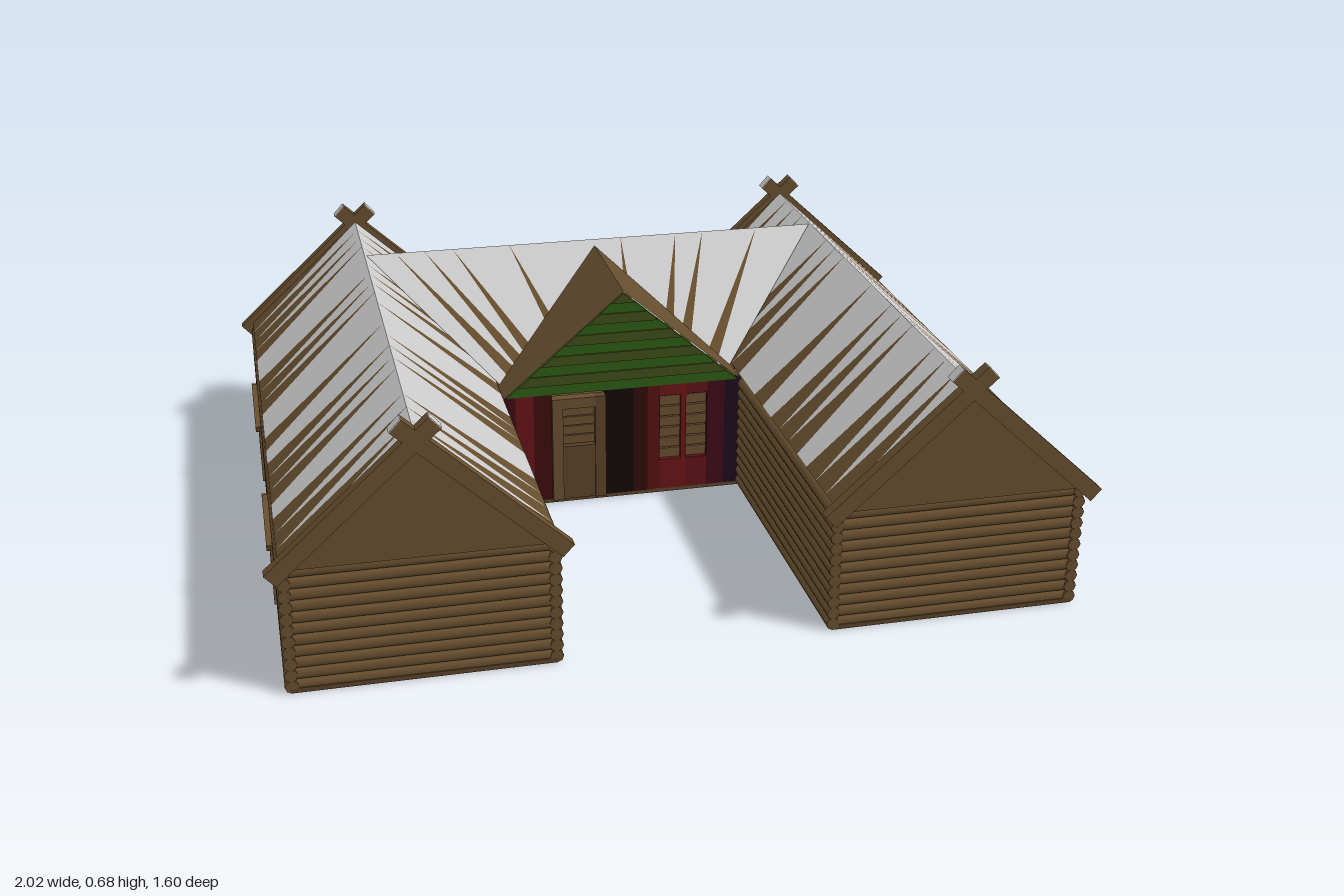
import * as THREE from 'three';
import { mergeGeometries } from 'three/addons/utils/BufferGeometryUtils.js';

const mat = (color, extra = {}) => new THREE.MeshStandardMaterial({ color, ...extra });
const wood = mat(0x664d2e), darkWood = mat(0x584128), grey = mat(0xcccccc);
const roofGrey = mat(0xcccccc, { side: THREE.DoubleSide });
const roofWood = mat(0x664d2e, { side: THREE.DoubleSide });
const WING = 0.655, EAVE = 0.335, RIDGE = 0.628, HALF = 0.32, END = 0.77;
const ROWS = 11, PITCH = 0.0295;

function add(parent, name, geometry, material, x = 0, y = 0, z = 0) {
  const m = new THREE.Mesh(geometry, material);
  m.name = name;
  m.position.set(x, y, z);
  parent.add(m);
  return m;
}

// Box given by its two extreme corners
function block(parent, name, material, x0, x1, y0, y1, z0, z1) {
  return add(parent, name, new THREE.BoxGeometry(x1 - x0, y1 - y0, z1 - z0), material,
    (x0 + x1) / 2, (y0 + y1) / 2, (z0 + z1) / 2);
}

// Stacked logs along an axis; holes are [from, to] gaps in rows 3 to 6
function logWall(parent, name, axis, at, from, to, holes = []) {
  const logs = [];
  for (let i = 0; i < ROWS; i++) {
    const cuts = i >= 3 && i <= 6 ? holes.flat() : [];
    const ends = [from, ...cuts, to];
    for (let k = 0; k < ends.length; k += 2) {
      const len = ends[k + 1] - ends[k], mid = (ends[k] + ends[k + 1]) / 2;
      const g = new THREE.CylinderGeometry(0.0165, 0.0165, len, 8);
      if (axis === 'x') g.rotateZ(Math.PI / 2); else g.rotateX(Math.PI / 2);
      const y = 0.0165 + i * PITCH;
      if (axis === 'x') g.translate(mid, y, at); else g.translate(at, y, mid);
      logs.push(g);
    }
  }
  add(parent, name, mergeGeometries(logs), wood);
}

function triangles(points) {
  const g = new THREE.BufferGeometry().setFromPoints(points);
  g.computeVertexNormals();
  return g;
}

// Roof slope of planks between an eave and a ridge; listed planks are half bare wood
function slope(parent, name, eave, ridge, n, bare) {
  const [e0, e1, r0, r1] = [...eave, ...ridge].map(p => new THREE.Vector3(...p));
  const pale = [], brown = [];
  for (let i = 0; i < n; i++) {
    const a = e0.clone().lerp(e1, i / n), b = e0.clone().lerp(e1, (i + 1) / n);
    const c = r0.clone().lerp(r1, i / n), d = r0.clone().lerp(r1, (i + 1) / n);
    pale.push(b, d, c);
    (bare.includes(i) ? brown : pale).push(a, b, c);
  }
  add(parent, name + 'Planks', triangles(pale), roofGrey);
  if (brown.length) add(parent, name + 'BarePlanks', triangles(brown), roofWood);
}

function gable(halfWidth, y0, y1, depth) {
  const s = new THREE.Shape();
  s.moveTo(-halfWidth, y0);
  s.lineTo(halfWidth, y0);
  s.lineTo(0, y1);
  return new THREE.ExtrudeGeometry(s, { depth, bevelEnabled: false });
}

// Window surround with a small pitched hood, facing +x
function sideWindow() {
  const w = new THREE.Group();
  w.name = 'sideWindow';
  for (const s of [-1, 1]) {
    const z = s * 0.09;
    block(w, 'windowPost', wood, -0.025, 0.012, 0.07, 0.24, z - 0.022, z + 0.022);
    const hood = add(w, 'windowHood', new THREE.BoxGeometry(0.04, 0.022, 0.15), wood, 0, 0.271, s * 0.064);
    hood.rotation.x = s * 0.5;
  }
  block(w, 'windowSill', wood, -0.025, 0.012, 0.07, 0.098, -0.09, 0.09);
  block(w, 'windowLintel', wood, -0.025, 0.01, 0.208, 0.24, -0.09, 0.09);
  add(w, 'windowPediment', gable(0.12, 0.235, 0.295, 0.025).rotateY(Math.PI / 2), darkWood, -0.018);
  return w;
}

function wing(side) {
  const g = new THREE.Group();
  g.name = side > 0 ? 'leftWing' : 'rightWing';
  const cx = side * WING;
  block(g, 'wingFloor', darkWood, cx - 0.315, cx + 0.315, 0, 0.012, -0.76, END);
  const windows = [-0.34, 0.36];
  logWall(g, 'outerWall', 'z', side * 0.965, -0.755, END, windows.map(z => [z - 0.07, z + 0.07]));
  logWall(g, 'innerWall', 'z', side * 0.343, -0.07, END);
  logWall(g, 'frontWall', 'x', 0.753, cx - 0.31, cx + 0.31);
  for (const z of windows) {
    const w = sideWindow();
    w.position.set(side * 0.975, 0, z);
    w.rotation.y = side > 0 ? 0 : Math.PI;
    g.add(w);
  }
  // Roof slopes
  const bare = [0, 1, 2, 3, 6, 7, 8, 11, 13, 14, 15, 17, 18, 19];
  for (const s of [-1, 1]) {
    const x = cx + s * HALF, zs = s > 0 ? [END, -END] : [-END, END];
    slope(g, 'wingRoof', zs.map(z => [x, EAVE, z]), zs.map(z => [cx, RIDGE, z]), 20, bare);
  }
  // Gable ends with crossed boards
  const angle = Math.atan2(RIDGE - EAVE, HALF);
  for (const e of [-1, 1]) {
    add(g, 'wingGable', gable(0.315, 0.32, 0.62, 0.02), wood, cx, 0, e > 0 ? 0.75 : -0.77);
    for (const s of [-1, 1]) {
      const board = new THREE.Group();
      board.name = 'gableBoard';
      block(board, 'boardPlank', wood, -0.46, 0.06, -0.02, 0.02, -0.015, 0.015);
      block(board, 'boardTip', grey, 0.06, 0.062, -0.02, 0.02, -0.015, 0.015);
      board.position.set(cx, 0.622, e * 0.783);
      board.rotation.set(0, s > 0 ? 0 : Math.PI, angle);
      // Mirror the tilt of the second board
      if (s < 0) board.rotation.set(0, Math.PI, angle, 'ZYX'), board.rotation.z = -angle;
      g.add(board);
    }
  }
  return g;
}

function middle() {
  const g = new THREE.Group();
  g.name = 'middleHall';
  block(g, 'hallFloor', darkWood, -0.34, 0.34, 0, 0.012, -0.76, -0.06);
  // Main roof, fanning out into the wing roofs
  const rz = -0.46;
  slope(g, 'hallRoofBack', [[0.33, EAVE, -END], [-0.33, EAVE, -END]],
    [[0.65, RIDGE, rz], [-0.65, RIDGE, rz]], 16, [1, 3, 4, 5, 7, 10, 12, 15]);
  slope(g, 'hallRoofFront', [[-0.33, EAVE, -0.15], [0.33, EAVE, -0.15]],
    [[-0.65, RIDGE, rz], [0.65, RIDGE, rz]], 16, [1, 2, 3, 5, 9, 11, 12, 14]);
  // Entrance roof
  const V = (x, y, z) => new THREE.Vector3(x, y, z);
  for (const s of [-1, 1]) {
    const a = V(s * 0.335, 0.328, -0.05), b = V(s * 0.335, 0.328, -0.15);
    const c = V(0, 0.615, -0.44), d = V(0, 0.615, -0.05);
    add(g, 'entranceRoof', triangles(s > 0 ? [a, b, c, a, c, d] : [b, a, d, b, d, c]), roofWood);
  }
  // Striped log gable over the entrance
  const greens = [mat(0x2c5a14), mat(0x3d4a18)], n = 10;
  for (let i = 0; i < n; i++) {
    const h = 0.28 / n, w0 = 0.325 * (1 - i / n), w1 = 0.325 * (1 - (i + 1) / n);
    const s = new THREE.Shape([[-w0, 0], [w0, 0], [w1, h], [-w1, h]].map(p => new THREE.Vector2(...p)));
    add(g, 'entranceGableLog', new THREE.ExtrudeGeometry(s, { depth: 0.02, bevelEnabled: false }),
      greens[i % 2], 0, 0.328 + i * h, -0.078 + (i % 2) * 0.004);
  }
  // Entrance wall panels, [x0, x1, colour], with a window opening
  const panels = [[-0.335, -0.3, 0x3c0a10], [-0.3, -0.25, 0x641216], [-0.25, -0.2, 0x3a0c0c],
    [-0.05, 0.03, 0x120807], [0.03, 0.07, 0x300a0a], [0.07, 0.105, 0x541010],
    [0.105, 0.165, 0x641414], [0.165, 0.18, 0x6a1414], [0.18, 0.24, 0x5c1216],
    [0.24, 0.29, 0x3c0c18], [0.29, 0.335, 0x1e0a1c]];
  for (const [x0, x1, color] of panels) {
    const m = mat(color);
    const open = x0 >= 0.105 && x1 <= 0.24 && x1 - x0 > 0.02;
    for (const [y0, y1] of open ? [[0.01, 0.1], [0.295, 0.33]] : [[0.01, 0.33]])
      block(g, 'entranceWall', m, x0, x1, y0, y1, -0.08, -0.06);
  }
  // Slatted shutters behind the opening
  for (let i = 0; i < 6; i++)
    block(g, 'shutterSlat', wood, 0.105, 0.24, 0.102 + i * 0.032, 0.13 + i * 0.032, -0.082, -0.07);
  // Door with a glazed upper panel
  block(g, 'doorPost', wood, -0.2, -0.17, 0.01, 0.315, -0.08, -0.05);
  block(g, 'doorPost', darkWood, -0.08, -0.05, 0.01, 0.315, -0.08, -0.05);
  block(g, 'doorHead', wood, -0.17, -0.08, 0.285, 0.315, -0.08, -0.05);
  block(g, 'doorLeaf', darkWood, -0.17, -0.08, 0.01, 0.17, -0.08, -0.055);
  for (let i = 0; i < 4; i++)
    block(g, 'doorSlat', wood, -0.17, -0.08, 0.173 + i * 0.028, 0.198 + i * 0.028, -0.08, -0.066);
  return g;
}

export function createModel() {
  const house = new THREE.Group();
  house.name = 'logHouse';
  house.add(wing(1), wing(-1), middle());
  logWall(house, 'backWall', 'x', -0.753, -0.97, 0.97);
  return house;
}
